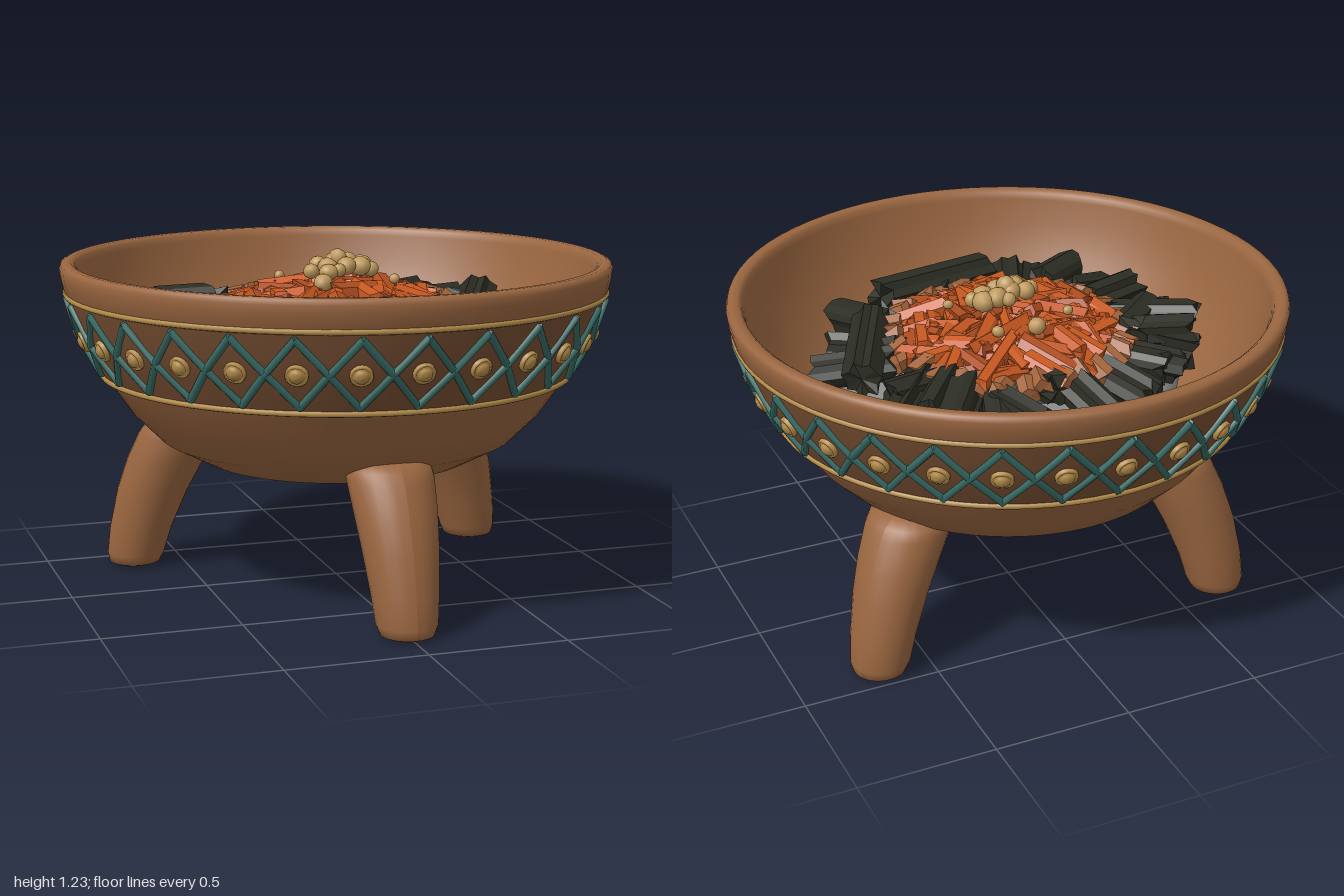
import * as THREE from 'three';
import { mergeGeometries } from 'three/addons/utils/BufferGeometryUtils.js';

const material = (name, color) => {
  const m = new THREE.MeshStandardMaterial({ color });
  m.name = name;
  return m;
};
const vec = (x, y, z) => new THREE.Vector3(x, y, z);
const lathe = (points, segments = 72) =>
  new THREE.LatheGeometry(points.map(([r, y]) => new THREE.Vector2(r, y)), segments);

// Small seeded generator for the fire bed
function seeded(seed) {
  return () => {
    seed = (seed * 16807) % 2147483647;
    return seed / 2147483647;
  };
}

// Turns a y-aligned geometry so it runs from a to b
function align(geo, a, b) {
  const dir = b.clone().sub(a).normalize();
  geo.applyQuaternion(new THREE.Quaternion().setFromUnitVectors(vec(0, 1, 0), dir));
  const mid = a.clone().add(b).multiplyScalar(0.5);
  return geo.translate(mid.x, mid.y, mid.z);
}

// Facetted splinter: a rod with ridged sides and broken ends
function splinter(a, b, radius, sides, rand) {
  const geo = new THREE.CylinderGeometry(1, 1, a.distanceTo(b), sides, 1);
  const ridge = Array.from({ length: sides }, (_, i) => radius * ((i % 2 ? 0.76 : 0.95) + rand() * 0.26));
  const ends = Array.from({ length: sides * 2 }, () => (rand() - 0.5) * radius * 0.9);
  const p = geo.attributes.position;
  for (let i = 0; i < p.count; i++) {
    const x = p.getX(i), y = p.getY(i), z = p.getZ(i);
    if (Math.hypot(x, z) < 0.5) continue;
    const k = (Math.round(Math.atan2(x, z) / (2 * Math.PI) * sides) + sides) % sides;
    p.setXYZ(i, x * ridge[k], y + ends[k + (y > 0 ? sides : 0)], z * ridge[k]);
  }
  const flat = align(geo, a, b).toNonIndexed();
  flat.computeVertexNormals();
  return flat;
}

export function createModel() {
  const model = new THREE.Group();
  model.name = 'brazier';
  const rand = seeded(4711);
  const clay = material('clay', 0x9a6640);
  const darkClay = material('dark clay', 0x764e32);
  const gold = material('gold', 0xb48c4a);
  const teal = material('teal', 0x386c66);
  const charcoal = material('charcoal', 0x2b2c23);
  const ember = material('ember orange', 0xc85820);
  const deepEmber = material('deep ember', 0xae4c1f);
  const paleEmber = material('pale ember', 0xa4653c);
  const ash = material('ash grey', 0x8b8b89);
  const resin = material('resin', 0xbf995c);
  const add = (name, geo, mat) => {
    const mesh = new THREE.Mesh(geo, mat);
    mesh.name = name;
    model.add(mesh);
    return mesh;
  };

  // Bowl: outside wall, rounded rim, inside wall
  add('bowl', lathe([
    [0, 0.453], [0.35, 0.453], [0.5, 0.476], [0.65, 0.555], [0.75, 0.655], [0.85, 0.8],
    [0.905, 0.9], [0.943, 0.99], [0.972, 1.09], [0.985, 1.1], [0.997, 1.15], [1, 1.178],
    [0.994, 1.194], [0.98, 1.2], [0.958, 1.199], [0.944, 1.188], [0.937, 1.165],
    [0.918, 1.08], [0.872, 0.95], [0.79, 0.81], [0.69, 0.7], [0.58, 0.62], [0.42, 0.55], [0, 0.52],
  ]), clay);

  // Decorated band with gold edging
  const band = [[0.857, 0.8], [0.912, 0.9], [0.95, 0.99], [0.978, 1.09]];
  add('band', lathe(band), darkClay);
  for (const [r, y] of [[0.857, 0.797], [0.979, 1.09]])
    add('bandEdge', new THREE.TorusGeometry(r, 0.011, 8, 96).rotateX(Math.PI / 2).translate(0, y, 0), gold);

  // Lattice of crossing bars and a boss in every diamond
  const onBand = (angle, y, lift) => {
    const i = y < 0.9 ? 0 : y < 0.99 ? 1 : 2;
    const [[r0, y0], [r1, y1]] = [band[i], band[i + 1]];
    const r = r0 + (r1 - r0) * (y - y0) / (y1 - y0) + lift;
    return vec(r * Math.sin(angle), y, r * Math.cos(angle));
  };
  const count = 28, step = 2 * Math.PI / count;
  const low = 0.82, mid = 0.94, high = 1.062, bars = [];
  const bar = (a, b) => bars.push(align(new THREE.CylinderGeometry(0.0135, 0.0135, a.distanceTo(b) + 0.008, 6), a, b));
  const bossGeo = lathe([[0.039, -0.012], [0.039, 0.009], [0.033, 0.014], [0.028, 0.008],
    [0.024, 0.017], [0.014, 0.023], [0, 0.025]], 16).rotateX(Math.PI / 2);
  for (let i = 0; i < count; i++) {
    const a = i * step, centre = onBand(a + step / 2, mid, 0.006);
    for (const [from, end] of [[a, low], [a, high], [a + step, low], [a + step, high]])
      bar(onBand(from, end, 0.006), centre);
    const boss = add('boss', bossGeo, gold);
    boss.position.copy(onBand(a, mid, 0.002));
    boss.lookAt(boss.position.clone().add(vec(Math.sin(a), -0.4, Math.cos(a))));
  }
  add('lattice', mergeGeometries(bars), teal);

  // Three curved legs, swept outward towards the foot
  const legGeo = lathe([[0, 0.005], [0.07, 0.005], [0.095, 0.015], [0.108, 0.05], [0.118, 0.15], [0.134, 0.3],
    [0.146, 0.42], [0.153, 0.52], [0.149, 0.555], [0.128, 0.578], [0.08, 0.587], [0, 0.588]], 28);
  const lp = legGeo.attributes.position;
  for (let i = 0; i < lp.count; i++) {
    const y = lp.getY(i);
    lp.setZ(i, lp.getZ(i) + 0.79 - 0.13 * y - 0.44 * y * y);
  }
  legGeo.computeVertexNormals();
  for (let i = 0; i < 3; i++) add('leg', legGeo, clay).rotation.y = i * 2 * Math.PI / 3;

  // Ash bed and the dark heap under the embers
  add('ashBed', lathe([[0, 0.74], [0.4, 0.77], [0.58, 0.83], [0.62, 0.87], [0.57, 0.9], [0.35, 0.94], [0, 0.96]], 48), ash);
  add('charcoalHeap', lathe([[0.43, 0.88], [0.4, 0.95], [0.25, 1.03], [0.1, 1.06], [0, 1.07]], 14), charcoal);

  // Charcoal logs: outer end x, z then inner end x, z
  const logs = [
    [-0.11, -0.71, -0.05, -0.46], [-0.29, -0.57, -0.19, -0.3], [0.15, -0.63, 0.21, -0.4],
    [0.47, -0.52, 0.3, -0.3], [0.58, -0.36, 0.38, -0.14], [0.38, -0.44, 0.26, -0.28],
    [-0.6, -0.29, -0.36, -0.18], [-0.69, -0.14, -0.44, 0.05], [-0.69, 0.09, -0.44, 0.04],
    [-0.62, 0.21, -0.4, 0.14], [-0.46, 0.53, -0.3, 0.3], [-0.56, 0.32, -0.38, 0.24],
    [-0.26, 0.57, -0.18, 0.38], [0.12, 0.65, 0.05, 0.42], [0.45, 0.54, 0.36, 0.24],
    [0.68, 0.13, 0.45, -0.02], [0.58, 0.28, 0.38, 0.12], [-0.42, -0.4, -0.25, -0.24],
    [-0.5, 0.5, -0.3, 0.36], [0.55, -0.24, 0.36, -0.2], [-0.52, -0.36, -0.34, -0.27],
    [-0.58, 0.02, -0.4, -0.12], [0.26, -0.54, 0.2, -0.36], [0.48, -0.42, 0.33, -0.24],
    [0.52, 0.1, 0.4, 0.02], [-0.36, 0.56, -0.26, 0.36], [0.24, 0.6, 0.2, 0.46], [0.02, -0.46, 0.04, -0.34],
  ];
  const coalGeos = logs.map(([x1, z1, x2, z2]) =>
    splinter(vec(x1, 0.93 + rand() * 0.09, z1), vec(x2, 0.97 + rand() * 0.05, z2), 0.062, 14, rand));
  for (const [x1, z1, x2, z2] of [[-0.14, 0.55, 0.31, 0.46], [0.4, 0.32, 0.62, -0.15], [-0.6, -0.25, -0.42, -0.21]])
    coalGeos.push(splinter(vec(x1, 1.02, z1), vec(x2, 1.03, z2), 0.062, 14, rand));
  add('charcoalLogs', mergeGeometries(coalGeos), charcoal);

  // Glowing sticks heaped in the middle, paler around the edge
  const heapY = (r) => 1.1 - 0.45 * r * r;
  const glow = [[], [], []];
  const stick = (set, x, z, turn, length, radius) => {
    const dx = Math.cos(turn) * length / 2, dz = Math.sin(turn) * length / 2;
    const end = (s) => vec(x + s * dx, heapY(Math.hypot(x + s * dx, z + s * dz)) + (rand() - 0.5) * 0.04, z + s * dz);
    glow[set].push(splinter(end(-1), end(1), radius, 6, rand));
  };
  for (let i = 0; i < 110; i++) {
    const a = i * 2.4, r = 0.38 * Math.sqrt((i + 0.5) / 110);
    stick(i % 3 ? 0 : 1, r * Math.sin(a), r * Math.cos(a), rand() * Math.PI, 0.15 + rand() * 0.14, 0.021 + rand() * 0.016);
  }
  for (const [x, z, turn, length] of [[0.06, -0.09, -0.12, 0.66], [0.05, 0.2, 1.4, 0.18], [-0.26, 0.04, 0.9, 0.34],
    [0.05, 0.31, -0.3, 0.4], [-0.22, -0.2, -0.5, 0.3], [0.3, 0.08, 1.9, 0.3]])
    stick(0, x, z, turn, length, 0.037);
  for (let i = 0; i < 34; i++) {
    const a = i * Math.PI / 17 + rand() * 0.1;
    stick(2, 0.425 * Math.sin(a), 0.425 * Math.cos(a), Math.PI / 2 - a + (rand() - 0.5) * 0.7, 0.08, 0.037);
  }
  [ember, deepEmber, paleEmber].forEach((m, i) => add('emberSticks', mergeGeometries(glow[i]), m));

  // Resin nuggets: a cluster on top and a few strays
  const nuggets = [];
  const nugget = (x, y, z, r) => {
    const geo = new THREE.IcosahedronGeometry(r, 1).scale(1, 0.8 + rand() * 0.2, 0.95);
    nuggets.push(geo.rotateX(rand() * 6).rotateY(rand() * 6).translate(x, y, z));
  };
  for (const [x, z, r] of [[-0.11, 0.05, 0.03], [-0.07, 0, 0.035], [-0.05, 0.06, 0.04], [-0.01, 0.01, 0.042],
    [0.02, 0.06, 0.036], [0.05, -0.02, 0.04], [0.08, 0.04, 0.04], [0.1, -0.01, 0.042], [0.12, 0.04, 0.03],
    [-0.06, 0.1, 0.036], [0.02, -0.05, 0.028], [-0.02, 0.1, 0.026]])
    nugget(x, 1.182 - 1.5 * (x * x + z * z), z, r);
  nugget(0, 1.2, 0.02, 0.038);
  for (const [x, z, r] of [[-0.02, -0.2, 0.034], [-0.18, -0.12, 0.02], [0.12, -0.18, 0.024], [0.19, 0.1, 0.02], [-0.1, 0.16, 0.036]])
    nugget(x, heapY(Math.hypot(x, z)) + 0.048, z, r);
  add('resinNuggets', mergeGeometries(nuggets), resin);
  return model;
}
